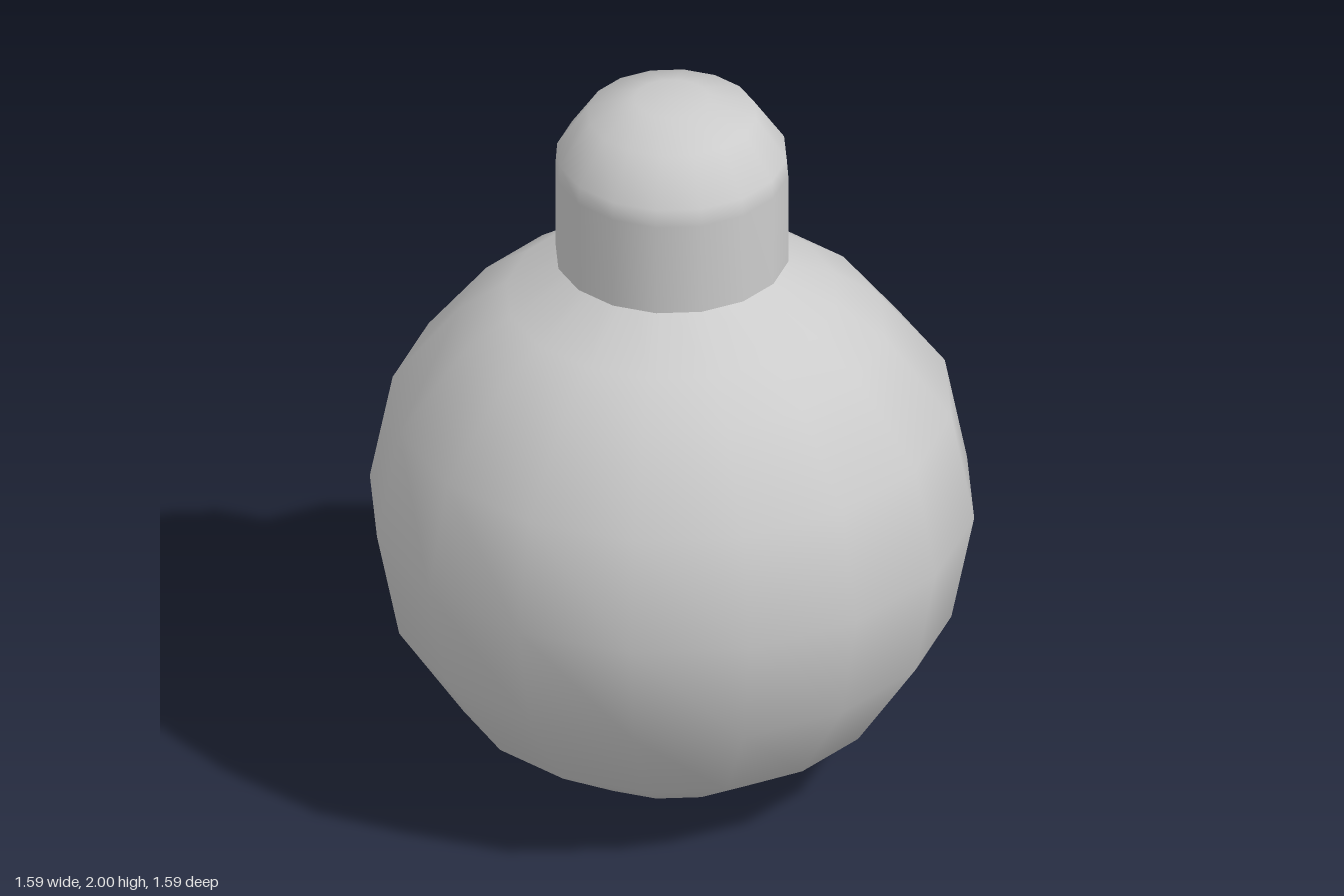
import * as THREE from 'three';

const SIDES = 16;

export function createModel() {
  const model = new THREE.Group();
  const material = new THREE.MeshStandardMaterial({ color: 0xcccccc });

  // Turns a [radius, height] profile, listed from bottom to top
  function addTurned(name, profile, parent) {
    const points = profile.map(([r, y]) => new THREE.Vector2(r, y));
    const mesh = new THREE.Mesh(new THREE.LatheGeometry(points, SIDES), material);
    mesh.name = name;
    parent.add(mesh);
  }

  // Round body: a low-sided ball whose shoulder slopes up to the neck
  addTurned('body', [
    [0, 0], [0.1, 0.005], [0.304, 0.053], [0.562, 0.224], [0.735, 0.486],
    [0.795, 0.79], [0.735, 1.094], [0.56, 1.317], [0.435, 1.408], [0.21, 1.53],
  ], model);

  // Cap: straight wall with a domed top, and a sharp-edged flat underside
  const cap = new THREE.Group();
  cap.name = 'cap';
  model.add(cap);
  addTurned('capShell', [
    [0.306, 1.53], [0.306, 1.79], [0.302, 1.84], [0.222, 1.957], [0.098, 2], [0, 2],
  ], cap);
  addTurned('capUnderside', [[0.2, 1.53], [0.306, 1.53]], cap);

  return model;
}
